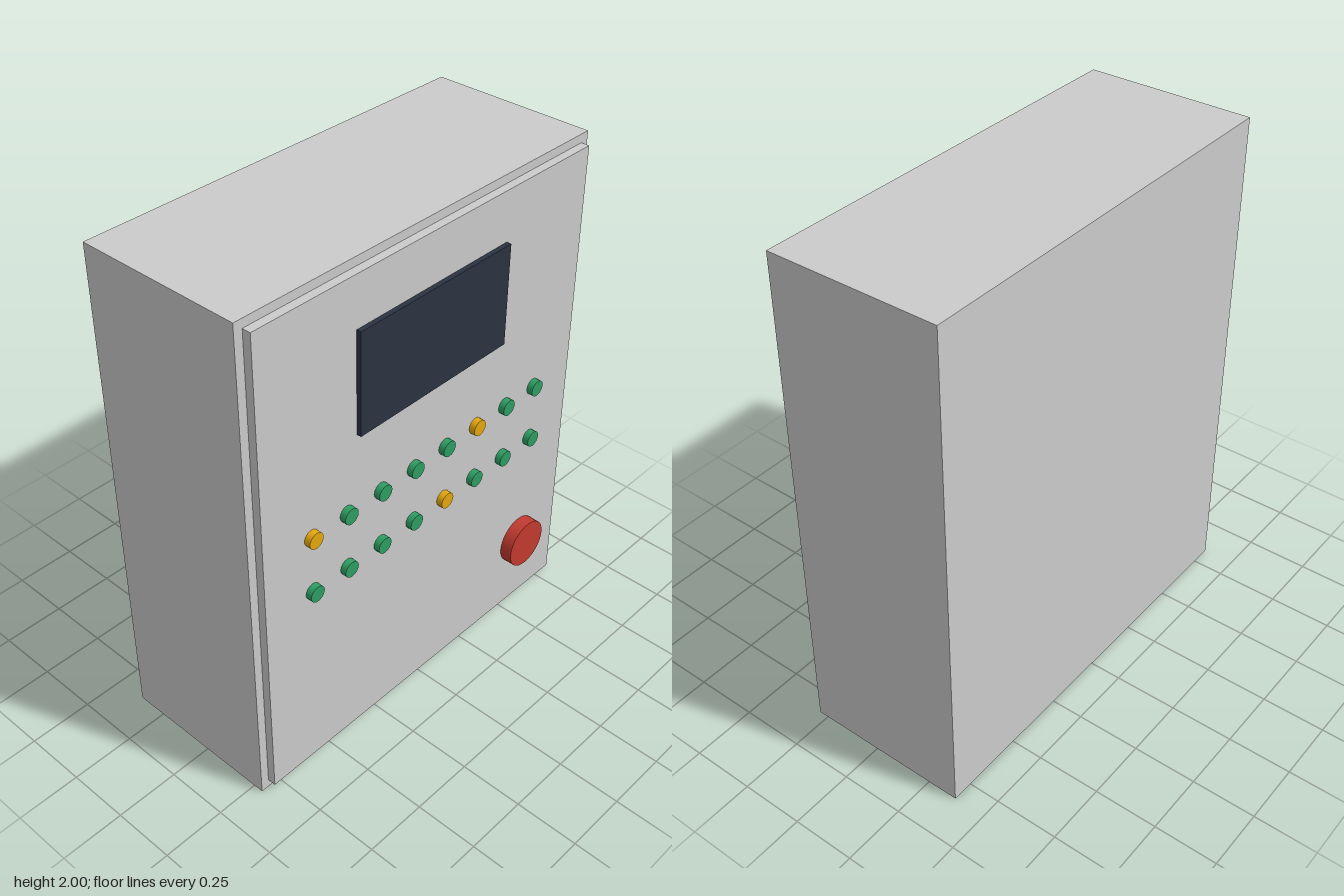
import * as THREE from 'three';

const paint = (color) => new THREE.MeshStandardMaterial({ color });

export function createModel() {
  const group = new THREE.Group();
  const grey = paint(0xcccccc);
  const green = paint(0x2e9e62);
  const amber = paint(0xe5a80c);
  const red = paint(0xc23a30);
  const dark = paint(0x2b3342);
  const doorFront = 0.323;

  const add = (name, geometry, material, x, y, z) => {
    const mesh = new THREE.Mesh(geometry, material);
    mesh.name = name;
    mesh.position.set(x, y, z);
    group.add(mesh);
  };
  // Box spanning the depth range back..front
  const box = (name, material, w, h, x, y, back, front) =>
    add(name, new THREE.BoxGeometry(w, h, front - back), material, x, y, (back + front) / 2);
  // Round knob standing out from the door
  const knob = (name, material, radius, depth, sides, x, y) =>
    add(name, new THREE.CylinderGeometry(radius, radius, depth, sides).rotateX(Math.PI / 2),
      material, x, y, doorFront + depth / 2);

  // Cabinet, door panel and display
  box('cabinet', grey, 1.667, 2, 0, 1, -0.373, 0.29);
  box('door', grey, 1.6, 1.933, 0, 1, 0.29, doorFront);
  box('screen', dark, 0.733, 0.4, 0, 1.57, doorFront, 0.342);

  // Two rows of eight indicator buttons, three of them amber
  const rows = [{ y: 1.07, amber: [0, 5] }, { y: 0.835, amber: [4] }];
  rows.forEach((row, r) => {
    for (let i = 0; i < 8; i++) {
      const material = row.amber.includes(i) ? amber : green;
      knob(`button${r + 1}_${i + 1}`, material, 0.032, 0.025, 16, (i - 3.5) / 6, row.y);
    }
  });

  // Emergency stop
  knob('stopButton', red, 0.1, 0.05, 32, 0.565, 0.335);

  return group;
}
